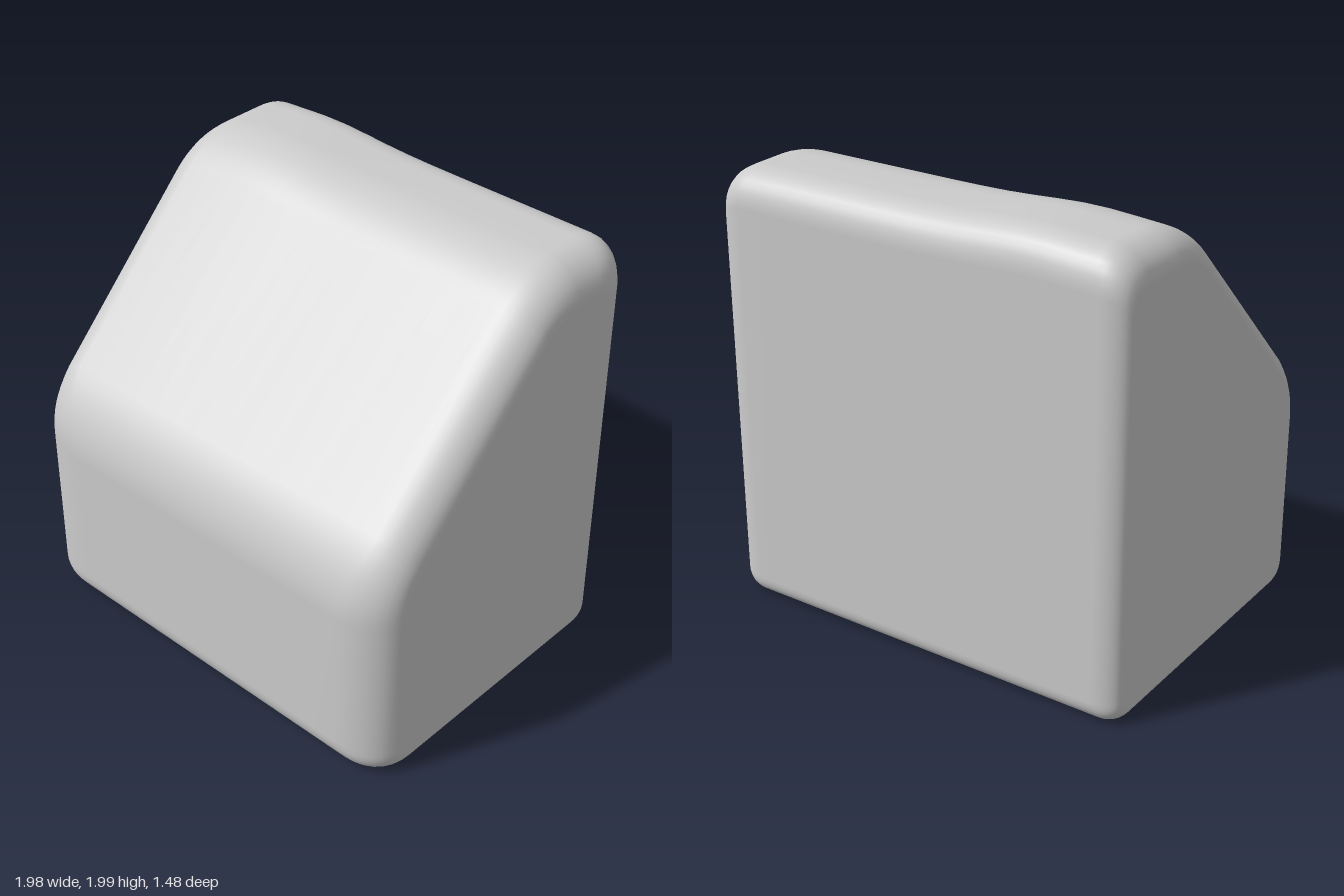
import * as THREE from 'three';

// Side profile corners as [z, y]: bottom front, slope foot, slope crest, top back, bottom back
const CORNERS = [[0.74, 0.005], [0.74, 1.0], [-0.235, 1.985], [-0.74, 1.985], [-0.74, 0.005]];
const CUTS = [0.12, 0.21, 0.18, 0.16, 0.09]; // rounding length at each corner
const ARC = 9;

// Edge rounding at each end, per profile edge: front, slope, top, back, bottom
const LEFT = { x: 0.985, inset: [0.16, 0.16, 0.18, 0.12, 0.06], run: [0.24, 0.2, 0.18, 0.14, 0.14] };
const RIGHT = { x: -0.995, inset: [0.08, 0.09, 0.14, 0.07, 0.05], run: [0.24, 0.11, 0.16, 0.12, 0.08] };

// Rounded profile with every edge moved inwards by inset[i] * amount
function profile(inset, amount, run) {
  const n = CORNERS.length;
  const edges = CORNERS.map(([z, y], i) => {
    const next = CORNERS[(i + 1) % n];
    const dir = new THREE.Vector2(next[0] - z, next[1] - y).normalize();
    const p = new THREE.Vector2(z, y).addScaledVector(new THREE.Vector2(-dir.y, dir.x), inset[i] * amount);
    return { p, dir };
  });
  const points = [];
  for (let i = 0; i < n; i++) {
    const before = (i + n - 1) % n;
    const a = edges[before], b = edges[i];
    // corner where the two shifted edges meet
    const t = b.p.clone().sub(a.p).cross(b.dir) / a.dir.cross(b.dir);
    const corner = a.p.clone().addScaledVector(a.dir, t);
    const cut = CUTS[i] * (1 - 0.35 * amount);
    const curve = new THREE.QuadraticBezierCurve(
      corner.clone().addScaledVector(a.dir, -cut), corner,
      corner.clone().addScaledVector(b.dir, cut));
    for (let k = 0; k < ARC; k++) {
      const u = k / (ARC - 1);
      const q = curve.getPoint(u);
      points.push({ z: q.x, y: q.y, run: THREE.MathUtils.lerp(run[before], run[i], u) });
    }
  }
  return points;
}

function bodyGeometry() {
  const STEPS = 8, MIDDLE = 14;
  const rings = [];
  // rounded end, from the cap (k = 0) out to the full profile
  const endRing = (end, k) => {
    const a = (k / STEPS) * Math.PI / 2;
    return profile(end.inset, 1 - Math.sin(a), end.run).map(p =>
      new THREE.Vector3(end.x - Math.sign(end.x) * p.run * (1 - Math.cos(a)), p.y, p.z));
  };
  for (let k = 0; k <= STEPS; k++) rings.push(endRing(RIGHT, k));
  const first = rings[STEPS], last = endRing(LEFT, STEPS);
  for (let k = 1; k < MIDDLE; k++) rings.push(first.map((p, i) => p.clone().lerp(last[i], k / MIDDLE)));
  for (let k = STEPS; k >= 0; k--) rings.push(endRing(LEFT, k));

  // slight swell along the top edge
  for (const p of rings.flat()) {
    const high = THREE.MathUtils.smoothstep(p.y, 1.5, 1.95);
    p.y += high * (0.025 * Math.exp(-(((p.x + 0.55) / 0.3) ** 2)) - 0.01);
  }

  const n = first.length, position = [], index = [];
  for (const p of rings.flat()) position.push(p.x, p.y, p.z);
  for (let j = 0; j < rings.length - 1; j++) {
    for (let i = 0; i < n; i++) {
      const a = j * n + i, b = j * n + (i + 1) % n;
      index.push(a, a + n, b + n, a, b + n, b);
    }
  }
  // end caps
  for (const [j, flip] of [[0, false], [rings.length - 1, true]]) {
    const centre = rings[j].reduce((s, p) => s.add(p), new THREE.Vector3()).divideScalar(n);
    const c = position.length / 3;
    position.push(centre.x, centre.y, centre.z);
    for (let i = 0; i < n; i++) {
      const a = j * n + i, b = j * n + (i + 1) % n;
      index.push(c, ...(flip ? [b, a] : [a, b]));
    }
  }
  const geometry = new THREE.BufferGeometry();
  geometry.setAttribute('position', new THREE.Float32BufferAttribute(position, 3));
  geometry.setIndex(index);
  geometry.computeVertexNormals();
  return geometry;
}

export function createModel() {
  const group = new THREE.Group();
  group.name = 'slopedBlock';
  const body = new THREE.Mesh(bodyGeometry(), new THREE.MeshStandardMaterial({ color: 0xcccccc }));
  body.name = 'roundedBody';
  group.add(body);
  return group;
}
